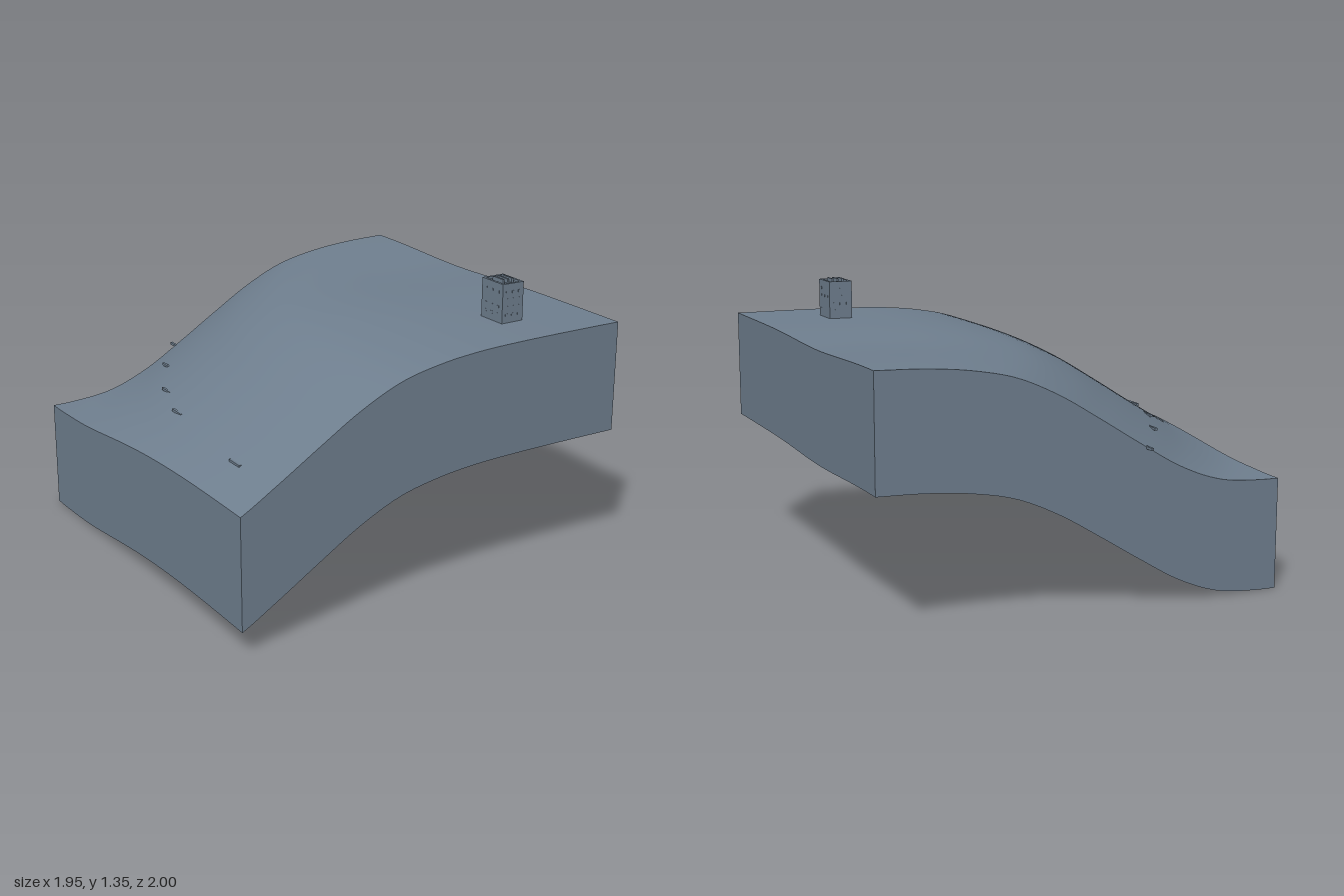
import * as THREE from 'three';

const X = 0.977, Z0 = -0.955, Z1 = 1.0, SKIRT = 0.52;

// Hillside profile, sampled every 0.2 from u = -1.6
const PROFILE = [0, 0.003, 0.027, 0.103, 0.22, 0.345, 0.465, 0.555, 0.6, 0.622, 0.63, 0.633, 0.634];

function profile(u) {
  const last = PROFILE.length - 1;
  const t = THREE.MathUtils.clamp((u + 1.6) / 0.2, 0, last - 0.0001);
  const i = Math.floor(t), f = t - i;
  const p = k => PROFILE[THREE.MathUtils.clamp(k, 0, last)];
  const m0 = (p(i + 1) - p(i - 1)) / 2, m1 = (p(i + 2) - p(i)) / 2;
  const f2 = f * f, f3 = f2 * f;
  return p(i) * (2 * f3 - 3 * f2 + 1) + m0 * (f3 - 2 * f2 + f) + p(i + 1) * (3 * f2 - 2 * f3) + m1 * (f3 - f2);
}

// Height of the lower rim: the slope drifts towards +x at the back, with a slight dip on the plateau
function rim(x, z) {
  const drift = 0.072 * Math.pow(1 - z, 3);
  const dip = 0.018 * Math.exp(-Math.pow((z + 0.25) / 0.42, 2)) * THREE.MathUtils.smoothstep(x, -0.2, 0.7);
  return Math.max(0, profile(x - drift) - dip);
}
const ground = (x, z) => rim(x, z) + SKIRT;

// Grid whose vertices are placed by a rule of (s, t), each from 0 to 1
function surface(nu, nv, rule) {
  const geo = new THREE.PlaneGeometry(1, 1, nu, nv);
  const pos = geo.attributes.position;
  for (let i = 0; i < pos.count; i++) {
    pos.setXYZ(i, ...rule(pos.getX(i) + 0.5, pos.getY(i) + 0.5));
  }
  geo.computeVertexNormals();
  return geo;
}

export function createModel() {
  const model = new THREE.Group();
  const slate = new THREE.MeshStandardMaterial({ color: 0x708090, side: THREE.DoubleSide });
  slate.name = 'slate';
  const lerp = THREE.MathUtils.lerp;

  function add(parent, name, geo, x = 0, y = 0, z = 0) {
    const mesh = new THREE.Mesh(geo, slate);
    mesh.name = name;
    mesh.position.set(x, y, z);
    parent.add(mesh);
    return mesh;
  }

  // Terrain top
  add(model, 'terrainTop', surface(64, 64, (s, t) => {
    const x = lerp(-X, X, s), z = lerp(Z1, Z0, t);
    return [x, ground(x, z), z];
  }));

  // Four skirt walls, open underneath
  const walls = {
    frontWall: [-X, Z1, X, Z1],
    rightHandWall: [X, Z1, X, Z0],
    backWall: [X, Z0, -X, Z0],
    leftHandWall: [-X, Z0, -X, Z1],
  };
  for (const [name, [xa, za, xb, zb]] of Object.entries(walls)) {
    add(model, name, surface(64, 1, (s, t) => {
      const x = lerp(xa, xb, s), z = lerp(za, zb, s);
      return [x, rim(x, z) + SKIRT * t, z];
    }));
  }

  // Small bars following one contour of the slope
  for (const [x, z] of [[-0.82, 0.67], [-0.745, -0.02], [-0.655, -0.31], [-0.495, -0.63], [-0.29, -0.955]]) {
    add(model, 'contourBar', new THREE.BoxGeometry(0.012, 0.012, 0.09), x, ground(x, z), z);
  }

  // Tower with an open parapet
  const tower = new THREE.Group();
  tower.name = 'tower';
  tower.position.set(0.568, 0, 0.672);
  model.add(tower);
  const W = 0.116, D = 0.154, TOP = 1.335, BASE = 1.14, ROOF = 1.325;
  add(tower, 'towerBody', new THREE.BoxGeometry(W, ROOF - BASE, D), 0, (ROOF + BASE) / 2, 0);
  for (const side of [-1, 1]) {
    add(tower, 'parapetSide', new THREE.BoxGeometry(0.012, TOP - ROOF, D), side * (W / 2 - 0.006), (TOP + ROOF) / 2, 0);
    add(tower, 'parapetEnd', new THREE.BoxGeometry(W - 0.024, TOP - ROOF, 0.012), 0, (TOP + ROOF) / 2, side * (D / 2 - 0.006));
  }

  // Roof fins
  for (const x of [-0.025, 0, 0.025]) {
    add(tower, 'roofFin', new THREE.BoxGeometry(0.01, 0.02, 0.075), x, ROOF + 0.01, 0);
  }

  // Window plates on all four sides
  for (let row = 0; row < 4; row++) {
    const y = 1.19 + row * 0.035;
    for (const k of [-1, 0, 1]) {
      for (const side of [-1, 1]) {
        add(tower, 'window', new THREE.BoxGeometry(0.012, 0.012, 0.002), k * 0.034, y, side * D / 2);
        add(tower, 'window', new THREE.BoxGeometry(0.002, 0.012, 0.012), side * W / 2, y, k * 0.045);
      }
    }
  }
  return model;
}
